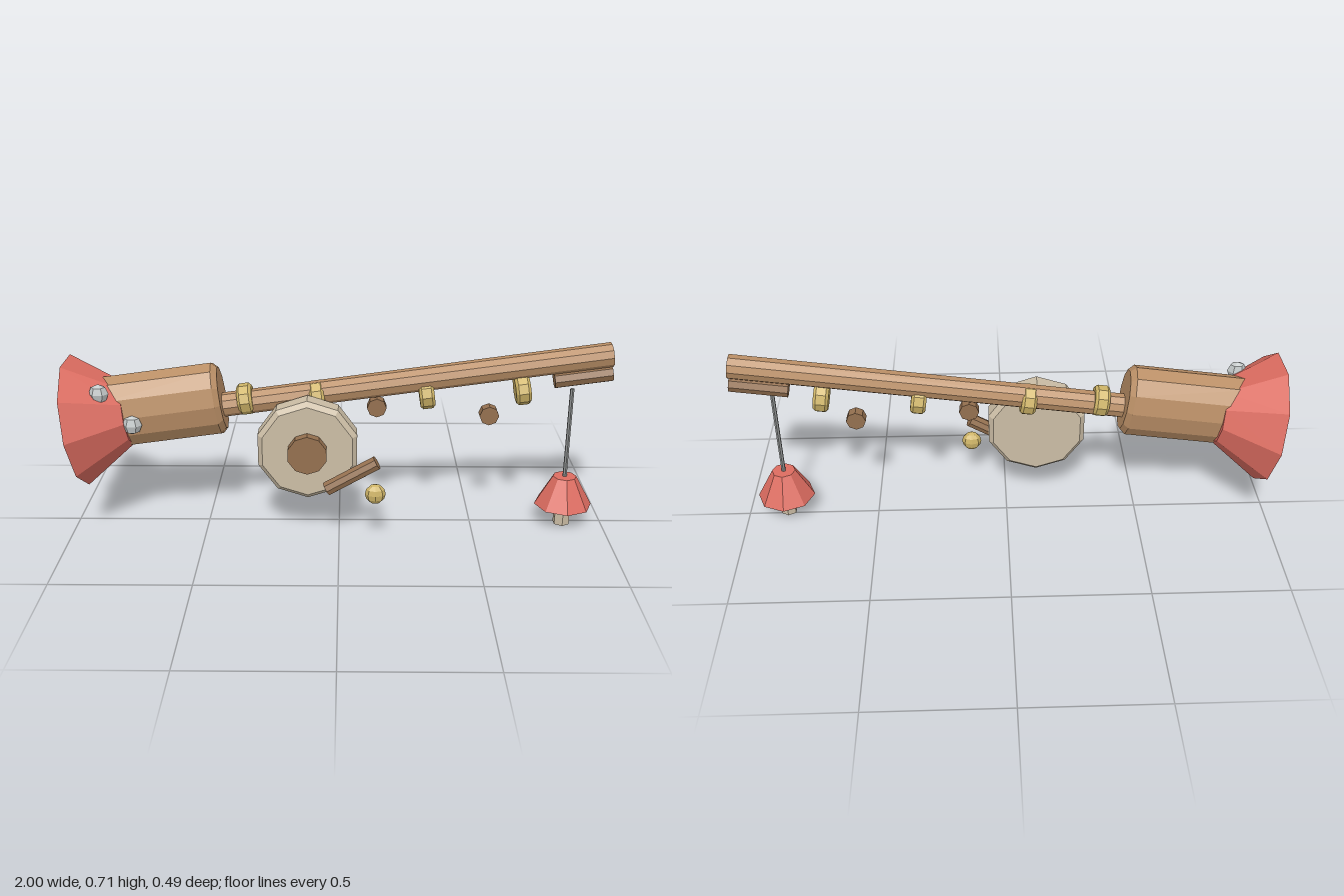
import * as THREE from 'three';

const mat = (name, color) => {
  const m = new THREE.MeshStandardMaterial({ color, flatShading: true });
  m.name = name;
  return m;
};

export function createModel() {
  const group = new THREE.Group();
  group.name = 'fishingRod';

  const wood = mat('wood', 0xba8f66);
  const darkWood = mat('dark wood', 0x94704f);
  const red = mat('red', 0xdc6c60);
  const brass = mat('brass', 0xcfb568);
  const bone = mat('bone', 0xcbbda5);
  const silver = mat('silver', 0xc3c8c8);
  const lineGrey = mat('line grey', 0x8f9292);

  const TILT = THREE.MathUtils.degToRad(8);
  const ALONG = TILT - Math.PI / 2; // turns a y axis to lie along the rod

  const add = (name, geo, material, x, y, z = 0) => {
    const mesh = new THREE.Mesh(geo, material);
    mesh.name = name;
    mesh.position.set(x, y, z);
    group.add(mesh);
    return mesh;
  };
  const cyl = (rTop, rBottom, h, sides) => new THREE.CylinderGeometry(rTop, rBottom, h, sides);

  // Closed drum with chamfered rims, along y
  const drum = (r, h, bevel, sides) => new THREE.LatheGeometry([
    [0, -h / 2], [r - bevel, -h / 2], [r, -h / 2 + bevel],
    [r, h / 2 - bevel], [r - bevel, h / 2], [0, h / 2],
  ].map(([a, b]) => new THREE.Vector2(a, b)), sides);

  // Pole and tip guide
  add('pole', cyl(0.045, 0.045, 1.45, 10), wood, 0.268, 0.571).rotation.z = ALONG;
  add('tipGuide', cyl(0.032, 0.032, 0.21, 8), darkWood, 0.888, 0.588).rotation.z = ALONG;

  // Oval grip and flared butt
  const grip = add('grip', drum(0.139, 0.444, 0.02, 12), wood, -0.65, 0.47);
  grip.rotation.z = ALONG;
  grip.scale.z = 0.72;
  const flare = cyl(0.115, 0.245, 0.19, 10).translate(0, 0.095, 0);
  add('flaredButt', flare, red, -0.967, 0.411).rotation.z = ALONG;

  // Studs on the grip and butt
  for (const [x, y] of [[-0.862, 0.552], [-0.75, 0.432], [-0.968, 0.48]]) {
    add('stud', new THREE.SphereGeometry(0.036, 6, 4), silver, x, y, 0.104).scale.z = 0.75;
  }

  // Brass bands below and around the pole
  for (const [x, y] of [[-0.345, 0.497], [-0.08, 0.509], [0.32, 0.521], [0.67, 0.538]]) {
    add('band', drum(0.058, 0.055, 0.01, 10), brass, x, y).rotation.z = ALONG;
  }

  // Small pegs under the pole
  for (const [x, y] of [[0.138, 0.468], [0.553, 0.438]]) {
    add('peg', cyl(0.036, 0.036, 0.04, 8), darkWood, x, y).rotation.x = Math.PI / 2;
  }

  // Reel with hub, crank and knob
  add('reel', drum(0.19, 0.098, 0.018, 10), bone, -0.115, 0.342, 0.087).rotation.x = Math.PI / 2;
  add('reelHub', cyl(0.073, 0.073, 0.06, 10), darkWood, -0.115, 0.342, 0.143).rotation.x = Math.PI / 2;
  add('crank', cyl(0.027, 0.027, 0.21, 8), darkWood, 0.046, 0.26, 0.162).rotation.z = -Math.PI / 3;
  add('crankKnob', new THREE.SphereGeometry(0.038, 8, 6), brass, 0.132, 0.198, 0.183).scale.z = 0.74;

  // Line and lure
  add('line', cyl(0.008, 0.008, 0.36, 6), lineGrey, 0.85, 0.365, 0.015);
  add('lureSkirt', cyl(0.044, 0.108, 0.115, 8), red, 0.85, 0.138, 0.015);
  add('lureStem', cyl(0.032, 0.032, 0.09, 6), bone, 0.85, 0.045, 0.015);

  return group;
}
